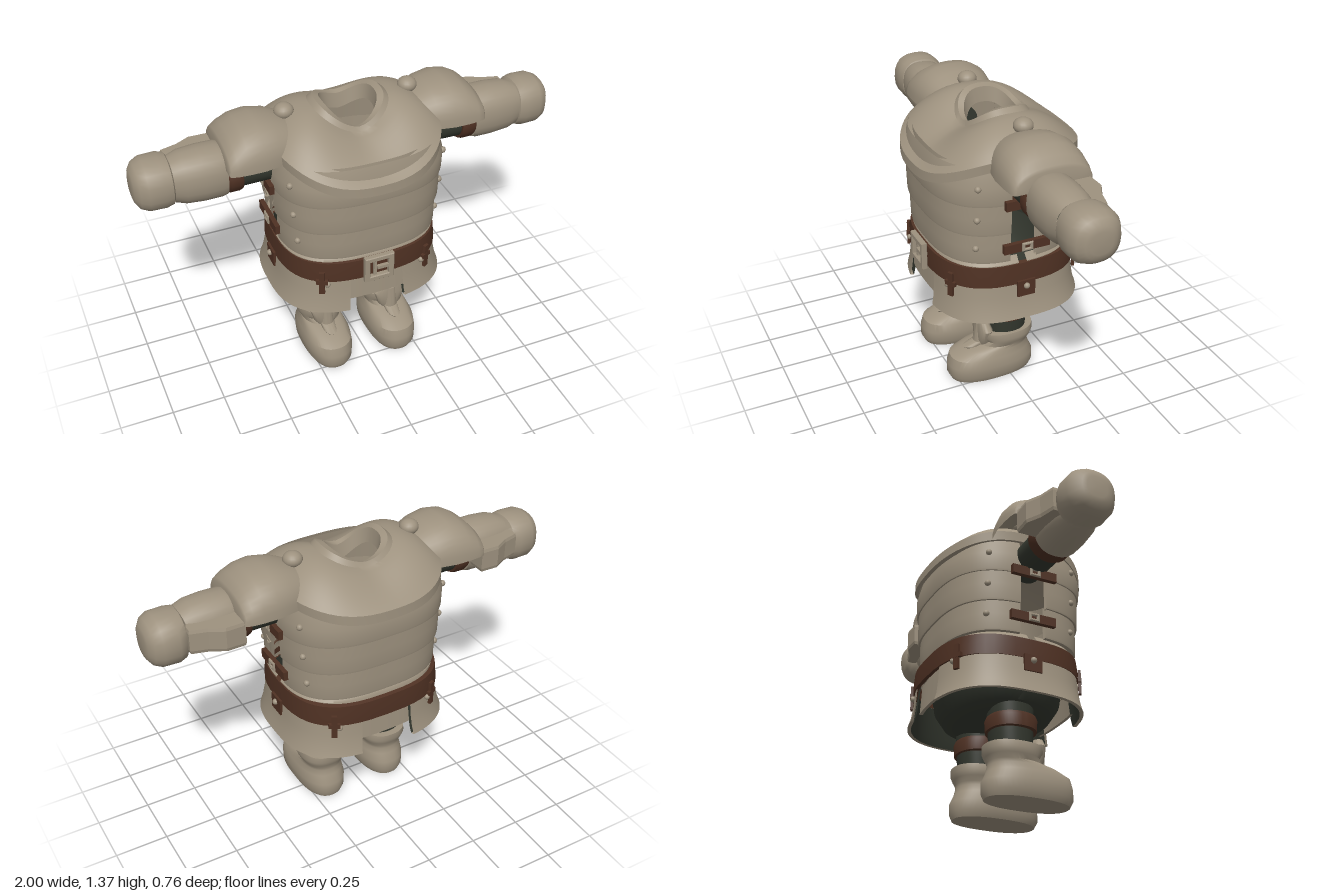
import * as THREE from 'three';
import { toCreasedNormals } from 'three/addons/utils/BufferGeometryUtils.js';

const P = 2.8; // squareness of the torso cross-section
const mat = (name, color) => {
  const m = new THREE.MeshStandardMaterial({ color, side: THREE.DoubleSide });
  m.name = name;
  return m;
};
const spow = (v, e) => Math.sign(v) * Math.pow(Math.abs(v), e);

// Surface through a list of point rings
function loft(rings, closed = true, crease = 0.7) {
  const n = rings[0].length, pos = [], idx = [];
  rings.forEach(r => r.forEach(p => pos.push(p[0], p[1], p[2])));
  for (let i = 0; i < rings.length - 1; i++) {
    for (let j = 0; j < (closed ? n : n - 1); j++) {
      const k = (j + 1) % n, a = i * n + j, b = i * n + k, c = a + n, d = b + n;
      idx.push(a, c, b, b, c, d);
    }
  }
  const g = new THREE.BufferGeometry();
  g.setAttribute('position', new THREE.Float32BufferAttribute(pos, 3));
  g.setIndex(idx);
  return toCreasedNormals(g, crease);
}

// Horizontal superellipse ring; an angle range gives an open arc
function ringY([y, hx, hz, zc = 0], p = P, a0 = 0, a1 = null, n = 48) {
  const open = a1 !== null, out = [];
  for (let j = 0; j < (open ? n + 1 : n); j++) {
    const a = a0 + (open ? a1 - a0 : Math.PI * 2) * j / n;
    out.push([hx * spow(Math.cos(a), 2 / p), y, zc + hz * spow(Math.sin(a), 2 / p)]);
  }
  return out;
}
// Ring around the arm axis
function ringX([x, hy, hz, yc = 1.135, zc = 0], p = 2.4, n = 24) {
  return ringY([0, hy, hz, 0], p, 0, null, n).map(q => [x, yc + q[0], zc + q[2]]);
}
const stackY = (secs, p) => loft(secs.map(s => ringY(s, p)));
const stackX = (secs, p) => loft(secs.map(s => ringX(s, p)));
const arcShell = (secs, a0, a1) => loft(secs.map(s => ringY(s, P, a0, a1)), false);

function frame(w, h, t, d) {
  const s = new THREE.Shape([[-w, -h], [w, -h], [w, h], [-w, h]].map(q => new THREE.Vector2(...q)));
  const u = w - t, v = h - t;
  s.holes.push(new THREE.Path([[-u, -v], [-u, v], [u, v], [u, -v]].map(q => new THREE.Vector2(...q))));
  return new THREE.ExtrudeGeometry(s, { depth: d, bevelEnabled: true, bevelSize: 0.004, bevelThickness: 0.004, bevelSegments: 1 });
}

export function createModel() {
  const root = new THREE.Group();
  root.name = 'armourSuit';
  const armour = mat('armour', 0x9e927f), leather = mat('leather', 0x4f3123), cloth = mat('darkCloth', 0x34382f);
  const add = (parent, name, geo, m, x = 0, y = 0, z = 0) => {
    const mesh = new THREE.Mesh(geo, m);
    mesh.name = name;
    mesh.position.set(x, y, z);
    parent.add(mesh);
    return mesh;
  };
  const box = (w, h, d) => new THREE.BoxGeometry(w, h, d);
  const rivetGeo = new THREE.SphereGeometry(0.015, 12, 8);
  // Turn a mesh to lie on the torso outline
  const lay = (mesh, hx, hz) => {
    const { x, z } = mesh.position;
    mesh.rotation.y = Math.atan2(spow(x / hx, P - 1) / hx, spow(z / hz, P - 1) / hz);
    return mesh;
  };
  const surfX = (z, hx, hz) => hx * Math.pow(1 - Math.pow(Math.abs(z) / hz, P), 1 / P);
  const surfZ = (x, hx, hz) => hz * Math.pow(1 - Math.pow(Math.abs(x) / hx, P), 1 / P);

  // Breast and back plates: three overlapping bands each, open at the sides
  const bands = [[0.725, 0.885, 0.378, 0.33], [0.872, 1.035, 0.39, 0.342], [1.02, 1.2, 0.399, 0.352]];
  for (const s of [1, -1]) {
    const e = 0.1, a0 = s > 0 ? e : Math.PI + e, a1 = a0 + Math.PI - 2 * e;
    const name = s > 0 ? 'breastPlate' : 'backPlate';
    bands.forEach(([y0, y1, hx, hz], i) => {
      const end = i === 2 ? -0.02 : 0.004;
      add(root, name + 'Band', arcShell([
        [y1, hx + end - 0.02, hz + end - 0.02], [y0, hx - 0.018, hz - 0.018], [y0, hx, hz],
        [y0 + 0.01, hx + 0.002, hz + 0.002], [(y0 + y1) / 2, hx + 0.004, hz + 0.004], [y1, hx + end, hz + end]
      ], a0, a1), armour);
      for (const m of [1, -1]) {
        add(root, 'plateRivet', rivetGeo, armour, m * surfX(0.215, hx + 0.004, hz + 0.004), (y0 + y1) / 2, s * 0.215);
      }
    });
    // Narrow waist hoop above the belt
    const w = s > 0 ? 0.02 : Math.PI + 0.02;
    add(root, 'waistHoop', arcShell([[0.66, 0.375, 0.325], [0.705, 0.375, 0.325], [0.715, 0.365, 0.318], [0.735, 0.35, 0.305]], w, w + Math.PI - 0.04), armour);
  }

  // Mantle with raised collar
  const mantle = [];
  const A = 64;
  const steps = [['in', 0.115, 0.105, -0.07], ['in', 0.125, 0.118, 0], ['in', 0.155, 0.142, 0.008], ['in', 0.178, 0.156, -0.012]];
  for (const [, hx, hz, dy] of steps) mantle.push({ hx, hz, dy, s: 0 });
  for (let i = 1; i <= 8; i++) {
    const s = i / 8;
    mantle.push({ hx: 0.178 + 0.217 * s, hz: 0.156 + 0.224 * s, dy: -0.012 * (1 - s), s });
  }
  mantle.push({ hx: 0.392, hz: 0.382, dy: -0.045, s: 1 }, { hx: 0.375, hz: 0.365, dy: -0.05, s: 1 }, { hx: 0.36, hz: 0.345, dy: 0, s: 1 });
  add(root, 'mantle', loft(mantle.map(({ hx, hz, dy, s }) => {
    return ringY([0, hx, hz, -0.02 * (1 - s)], 2.5, 0, null, A).map((q, j) => {
      const a = j / A * Math.PI * 2, c = Math.abs(Math.cos(a)), f = Math.sin(a) > 0;
      const rim = f ? 1.26 + 0.095 * Math.pow(c, 1.3) : 1.295 + 0.06 * Math.pow(c, 1.3);
      const edge = (f ? 1.12 : 1.175) + (f ? 0.12 : 0.065) * c * c;
      return [q[0], rim + (edge - rim) * Math.pow(s, 1.2 + 0.9 * c) + dy, q[2]];
    });
  })), armour);

  // Belt with front buckle
  add(root, 'belt', stackY([[0.6, 0.37, 0.335, -0.01], [0.6, 0.388, 0.352, -0.01], [0.65, 0.385, 0.352, -0.01],
    [0.7, 0.38, 0.347, -0.01], [0.705, 0.362, 0.33, -0.01]]), leather);
  add(root, 'beltBuckle', frame(0.068, 0.063, 0.018, 0.02), armour, 0, 0.652, 0.343);
  add(root, 'bucklePin', box(0.07, 0.016, 0.016), armour, 0.025, 0.652, 0.355);
  add(root, 'buckleBar', box(0.014, 0.08, 0.014), armour, -0.018, 0.652, 0.35);

  // Recessed skirt panels in the front and back slots
  for (const s of [1, -1]) {
    const mid = s * Math.PI / 2;
    add(root, s > 0 ? 'frontSkirtPanel' : 'backSkirtPanel', arcShell([[0.62, 0.37, 0.325], [0.48, 0.38, 0.333], [0.48, 0.365, 0.318]], mid - 0.3, mid + 0.3), armour);
  }
  // Pelvis bowl
  add(root, 'pelvis', stackY([[0.402, 0, 0], [0.403, 0.12, 0.1], [0.415, 0.22, 0.18], [0.44, 0.29, 0.24], [0.5, 0.325, 0.28], [0.62, 0.34, 0.3]], 2.1), cloth);

  // Paired parts, modelled on +x and mirrored
  for (const side of [1, -1]) {
    const g = new THREE.Group();
    g.name = side > 0 ? 'leftSide' : 'rightSide';
    g.scale.x = side;
    root.add(g);

    // Skirt plate, dark lining, belt hangers
    add(g, 'skirtPlate', arcShell([[0.62, 0.383, 0.344, -0.009], [0.54, 0.39, 0.349, -0.009], [0.47, 0.405, 0.358, -0.01], [0.43, 0.419, 0.368, -0.012],
      [0.43, 0.402, 0.352, -0.012]], -1.354, 1.354), armour);
    add(g, 'skirtLining', arcShell([[0.43, 0.402, 0.352, -0.012], [0.47, 0.39, 0.343, -0.01], [0.61, 0.368, 0.33, -0.009]], -1.354, 1.354), cloth);
    for (const s of [1, -1]) {
      const z = s * surfZ(0.26, 0.396, 0.358) - 0.009;
      lay(add(g, 'beltHanger', box(0.026, 0.12, 0.014), leather, 0.26, 0.6, z), 0.396, 0.358);
      lay(add(g, 'hangerCrossPiece', box(0.055, 0.022, 0.016), leather, 0.26, 0.605, z), 0.396, 0.358);
      add(g, 'skirtRivet', rivetGeo, armour, 0.235, 0.588, s * surfZ(0.235, 0.39, 0.352) - 0.009);
    }
    add(g, 'sideTab', box(0.014, 0.08, 0.088), leather, 0.391, 0.575, -0.01);
    add(g, 'sideTabRivet', rivetGeo, armour, 0.4, 0.588, -0.01);

    // Side straps bridging the plates
    [[0.8, 0.393], [1.025, 0.41]].forEach(([y, x]) => {
      add(g, 'sideStrap', box(0.022, 0.044, 0.225), leather, x, y, -0.007);
      const b = add(g, 'strapBuckle', frame(0.023, 0.017, 0.006, 0.006), armour, x + 0.009, y, -0.007);
      b.rotation.y = Math.PI / 2;
    });

    // Shoulder guard
    const guard = [[0.22, 0.1, 0.12], [0.3, 0.13, 0.155], [0.37, 0.16, 0.18], [0.45, 0.173, 0.194], [0.52, 0.16, 0.194], [0.57, 0.13, 0.19],
      [0.6, 0.1, 0.183], [0.607, 0.085, 0.175], [0.607, 0.01, 0.12]];
    add(g, 'shoulderGuard', loft(guard.map(([x, h, hz]) => Array.from({ length: 19 }, (_, j) => {
      const a = Math.PI * j / 18;
      return [x, 1.182 + h * spow(Math.sin(a), 0.85), -0.02 + hz * spow(Math.cos(a), 0.85)];
    })), false), armour);
    const stud = add(g, 'shoulderStud', new THREE.SphereGeometry(0.045, 20, 12), armour, 0.295, 1.333, -0.03);
    stud.scale.y = 0.8;

    // Arm, cuff band, gauntlet and fist
    add(g, 'upperArm', stackX([[0.3, 0, 0, 1.115], [0.3, 0.08, 0.085, 1.115], [0.62, 0.085, 0.09, 1.115]], 2), cloth);
    add(g, 'armBand', stackX([[0.53, 0.08, 0.085, 1.115], [0.53, 0.092, 0.1, 1.115], [0.545, 0.098, 0.106, 1.115], [0.585, 0.098, 0.106, 1.115], [0.6, 0.09, 0.1, 1.115]], 2), leather);
    add(g, 'gauntlet', stackX([[0.598, 0.085, 0.085], [0.598, 0.118, 0.105], [0.62, 0.124, 0.11], [0.7, 0.124, 0.112], [0.78, 0.118, 0.105], [0.83, 0.1, 0.092]]), armour);
    add(g, 'fist', stackX([[0.815, 0.08, 0.08, 1.132, -0.015], [0.835, 0.11, 0.11, 1.132, -0.015], [0.87, 0.118, 0.12, 1.13, -0.018], [0.94, 0.116, 0.118, 1.13, -0.018],
      [0.975, 0.1, 0.1, 1.13, -0.018], [0.995, 0.072, 0.07, 1.13, -0.018], [1, 0.05, 0.05, 1.13, -0.018], [1, 0, 0, 1.13, -0.018]]), armour);
    const fin = new THREE.Shape([[0.605, 0.05], [0.605, 0.188], [0.69, 0.19], [0.755, 0.155], [0.83, 0.135], [0.83, 0.05]].map(q => new THREE.Vector2(...q)));
    const finGeo = new THREE.ExtrudeGeometry(fin, { depth: 0.085, bevelEnabled: true, bevelSize: 0.004, bevelThickness: 0.015, bevelSegments: 1 });
    finGeo.rotateX(-Math.PI / 2);
    add(g, 'gauntletGuard', finGeo, armour, 0, 1.1, 0);

    // Leg, knee band and boot
    const leg = new THREE.Group();
    leg.name = 'leg';
    leg.position.x = 0.17;
    g.add(leg);
    add(leg, 'trouserLeg', stackY([[0.2, 0.09, 0.09, -0.01], [0.3, 0.1, 0.1, -0.012], [0.45, 0.108, 0.105, -0.014]], 2.2), cloth);
    add(leg, 'kneeBand', stackY([[0.318, 0.1, 0.1, -0.01], [0.322, 0.115, 0.114, -0.01], [0.375, 0.118, 0.117, -0.01], [0.39, 0.112, 0.111, -0.01], [0.39, 0.095, 0.095, -0.01]], 2.2), leather);
    add(leg, 'boot', stackY([[0, 0, 0, 0.07], [0, 0.1, 0.205, 0.068], [0.03, 0.115, 0.218, 0.07], [0.08, 0.118, 0.217, 0.07], [0.125, 0.112, 0.2, 0.074],
      [0.155, 0.1, 0.165, 0.046], [0.172, 0.096, 0.125, 0.005], [0.195, 0.108, 0.122, -0.008], [0.22, 0.116, 0.136, -0.004],
      [0.25, 0.112, 0.138, -0.002], [0.25, 0.09, 0.1, -0.004]], 2.4), armour);
    // Raised front flap and central ridge
    add(leg, 'bootFlap', stackY([[0.15, 0.03, 0.03, 0.1], [0.2, 0.062, 0.035, 0.108], [0.26, 0.08, 0.035, 0.108], [0.298, 0.05, 0.026, 0.114], [0.298, 0, 0, 0.114]], 2.4), armour);
    add(leg, 'bootRidge', stackY([[0.13, 0.02, 0.03, 0.15], [0.165, 0.032, 0.06, 0.15], [0.185, 0.036, 0.04, 0.115], [0.295, 0.03, 0.03, 0.115], [0.3, 0, 0, 0.115]], 2.2), armour);
  }
  return root;
}
